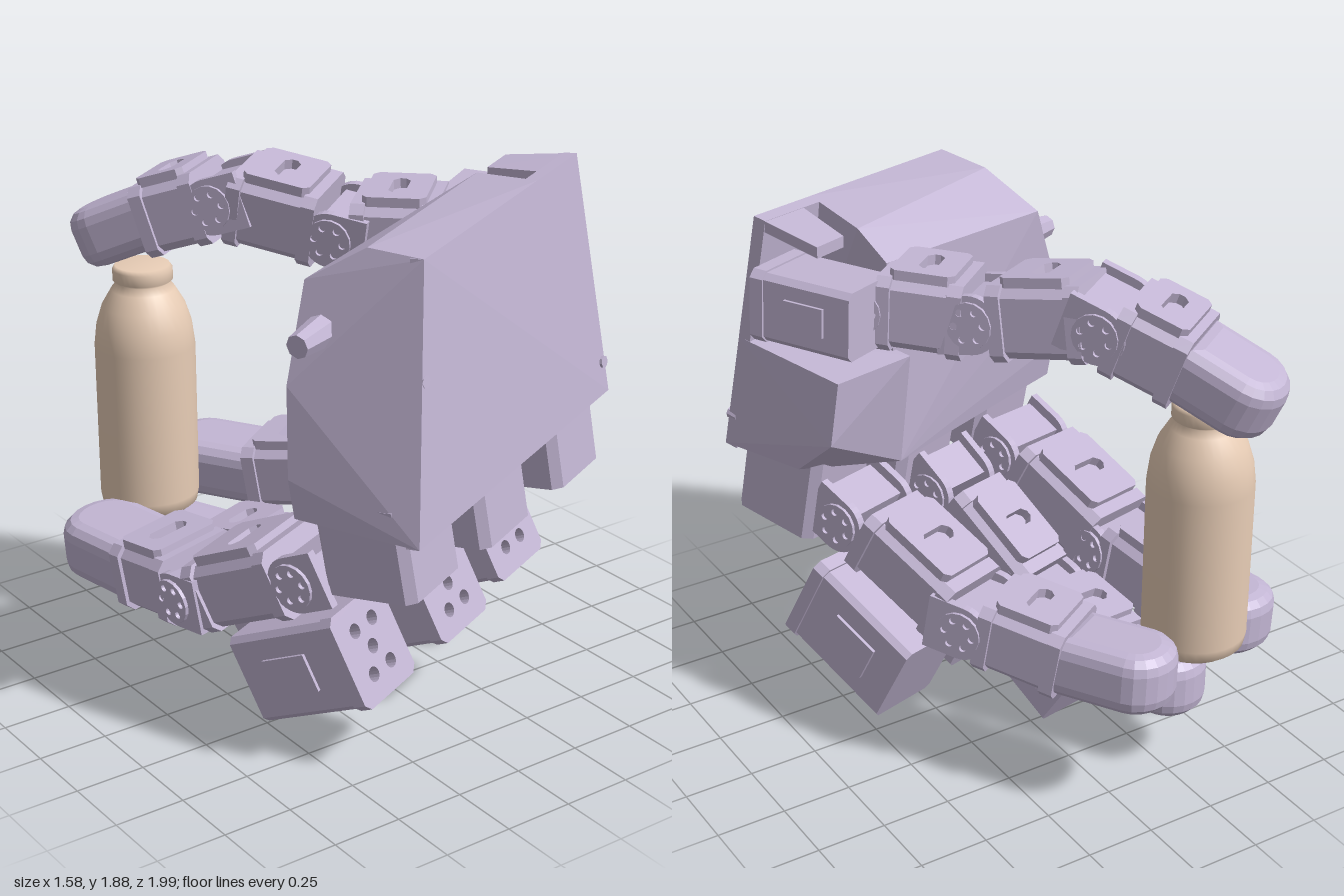
import * as THREE from 'three';
import { ConvexGeometry } from 'three/addons/geometries/ConvexGeometry.js';

const V = (x, y, z) => new THREE.Vector3(x, y, z);
const shell = new THREE.MeshStandardMaterial({ color: 0xc3b6d4, flatShading: true });
const tan = new THREE.MeshStandardMaterial({ color: 0xe8cdb6 });
const ACROSS = V(-0.927, -0.077, 0.365); // width axis of palm and fingers
const OUT = V(0.353, 0.135, 0.925); // direction the palm plate faces
const UP = V(0, 1, 0);
const MOTOR_AXIS = V(-0.13, -0.2, -0.41);

function add(parent, geo, name, x = 0, y = 0, z = 0) {
  const m = new THREE.Mesh(geo, shell);
  m.name = name;
  m.position.set(x, y, z);
  parent.add(m);
  return m;
}

// Group at a: x across, y up, z pointing at b
function frame(parent, name, a, b, side = ACROSS) {
  const g = new THREE.Group();
  g.name = name;
  const z = b.clone().sub(a), len = z.length();
  z.normalize();
  const x = side.clone().addScaledVector(z, -side.dot(z)).normalize();
  g.quaternion.setFromRotationMatrix(new THREE.Matrix4().makeBasis(x, z.clone().cross(x), z));
  g.position.copy(a);
  parent.add(g);
  return { g, len };
}

// Rectangle with cut corners
function chamfered(w, h, c, Kind = THREE.Shape) {
  const a = w / 2, b = h / 2;
  return new Kind([[c - a, -b], [a - c, -b], [a, c - b], [a, b - c], [a - c, b], [c - a, b], [-a, b - c], [-a, c - b]]
    .map(([x, y]) => new THREE.Vector2(x, y)));
}
const extrude = (shape, depth) => new THREE.ExtrudeGeometry(shape, { depth, bevelEnabled: false, curveSegments: 8 });
const hole = (x, y, r) => new THREE.Path().absarc(x, y, r, 0, Math.PI * 2, true);
const convex = (parent, name, pts) => add(parent, new ConvexGeometry(pts), name);
const shifted = (pts, dir, d) => pts.map((p) => p.clone().addScaledVector(dir, d));

// Finger bone: cut-corner box with end collars and a slotted top plate
function bone(parent, a, b, w, h) {
  const { g, len } = frame(parent, 'fingerBone', a, b);
  add(g, extrude(chamfered(w * 0.92, h * 0.92, 0.03), len), 'boneBody');
  for (const z of [0, len - 0.05]) add(g, extrude(chamfered(w, h, 0.03), 0.05), 'collar', 0, 0, z);
  const plate = chamfered(w * 0.8, len * 0.75, 0.02);
  plate.holes.push(chamfered(w * 0.45, 0.06, 0.02, THREE.Path));
  add(g, extrude(plate, 0.035), 'slottedPlate', 0, h * 0.46 + 0.035, len / 2).rotation.x = Math.PI / 2;
}

// Motor block with a drilled front plate
function motor(parent, a, w, h, axis = MOTOR_AXIS) {
  const { g, len } = frame(parent, 'motorBlock', a, a.clone().add(axis));
  const face = chamfered(w, h, 0.025);
  face.holes.push(hole(0, 0, 0.026));
  for (const sx of [-1, 1]) for (const sy of [-1, 1]) face.holes.push(hole(sx * 0.05, sy * 0.08, 0.026));
  add(g, extrude(face, 0.05), 'drilledPlate');
  add(g, extrude(chamfered(w * 0.95, h * 0.95, 0.02), len - 0.05), 'motorBody', 0, 0, 0.05);
  for (const s of [-1, 1]) add(g, new THREE.BoxGeometry(0.02, h * 0.4, len * 0.4), 'sideRib', s * w * 0.48, 0, len * 0.55);
}

// Hinge: servo core, two rounded cheek plates and drilled horns
function hinge(parent, a, b, w, h) {
  const { g, len } = frame(parent, 'hinge', a, b);
  add(g, new THREE.BoxGeometry(w * 0.72, h * 0.75, len * 1.1), 'servoCore', 0, 0, len / 2);
  const r = h / 2;
  const cheek = new THREE.Shape().moveTo(-len * 0.9, -r).lineTo(0, -r)
    .absarc(0, 0, r, -Math.PI / 2, Math.PI / 2, false).lineTo(-len * 0.9, r);
  const horn = new THREE.Shape().absarc(0, 0, r * 0.8, 0, Math.PI * 2, false);
  for (let i = 0; i < 6; i++) {
    const t = i * Math.PI / 3;
    horn.holes.push(hole(r * 0.52 * Math.cos(t), r * 0.52 * Math.sin(t), r * 0.13));
  }
  for (const s of [-1, 1]) {
    add(g, extrude(cheek, 0.03), 'cheekPlate', s * w * 0.44 + 0.015, 0, len * 0.75).rotation.y = -Math.PI / 2;
    add(g, extrude(horn, 0.025), 'horn', s * w * 0.485 + 0.0125, 0, len * 0.75).rotation.y = -Math.PI / 2;
  }
}

// Blunt, faceted pad at the end of a finger
function fingertip(parent, a, b, w, h) {
  const { g, len } = frame(parent, 'fingertip', a, b);
  const bev = 0.06, r = w / 2 - bev, l = len - bev, nose = r * 0.8;
  const s = new THREE.Shape().moveTo(-r, 0).lineTo(r, 0).lineTo(r, l - nose)
    .absellipse(0, l - nose, r, nose, 0, Math.PI, false, 0);
  const geo = new THREE.ExtrudeGeometry(s, {
    depth: h - 2 * bev, bevelSize: bev, bevelThickness: bev, bevelSegments: 3, curveSegments: 5,
  });
  add(g, geo, 'pad', 0, h / 2 - bev, 0).rotation.x = Math.PI / 2;
}

// Finger along its joints: a hinge and a bone per segment, a pad on the last
function finger(parent, name, w, h, joints) {
  const g = new THREE.Group();
  g.name = name;
  parent.add(g);
  const last = joints.length - 2;
  for (let i = 0; i < last; i++) {
    const a = joints[i], b = joints[i + 1];
    const dir = b.clone().sub(a).normalize();
    hinge(g, ...shifted([a], dir, -0.08), ...shifted([a], dir, 0.06), w, 0.2);
    bone(g, a.clone().lerp(b, 0.2), a.clone().lerp(b, 0.93), w, h);
  }
  fingertip(g, joints[last], joints[last + 1], w * 0.95, 0.22);
  return g;
}

// Open tray under the palm that carries one finger
function mount(parent, c) {
  const { g } = frame(parent, 'fingerMount', c, c.clone().sub(OUT));
  const ring = chamfered(0.31, 0.34, 0.03);
  ring.holes.push(chamfered(0.25, 0.28, 0.02, THREE.Path));
  add(g, extrude(ring, 0.32), 'trayWalls', 0, 0.16, 0).rotation.x = Math.PI / 2;
  add(g, new THREE.BoxGeometry(0.28, 0.05, 0.31), 'trayFloor', 0, -0.13, 0);
}

function makePalm(root) {
  const palm = new THREE.Group();
  palm.name = 'palm';
  root.add(palm);
  // Front plate over the full width
  const [tl, tr, br, bl] = [V(-0.29, 1.8, 0.82), V(0.67, 1.885, 0.42), V(0.785, 1.03, 0.51), V(-0.42, 0.93, 0.985)];
  const plate = [tl, tr, br, bl];
  convex(palm, 'frontPlate', [...plate, ...shifted(plate, OUT, -0.05)]);
  // Main housing with sloped top and side
  const topMid = tl.clone().lerp(tr, 0.72), lowMid = bl.clone().lerp(br, 0.72);
  const lowBack = V(0.27, 0.96, 0.18);
  convex(palm, 'housing', [tl, bl, topMid, lowMid, lowBack,
    V(-0.34, 1.79, 0.6), V(-0.45, 1.66, 0.42), V(-0.57, 1.35, 0.49), V(-0.595, 1.05, 0.53),
    V(-0.585, 0.92, 0.55), V(0.37, 1.83, 0.26), V(0.33, 1.74, 0.14)]);
  // Lower lobe beneath the thumb
  convex(palm, 'thumbLobe', [lowMid, br, tr.clone().lerp(br, 0.52), topMid.clone().lerp(lowMid, 0.5), lowBack,
    V(0.58, 1.4, 0.04), V(0.61, 1.17, 0.05), V(0.66, 1.03, 0.2), V(0.27, 1.4, 0.1)]);
  // Thin roof over the thumb root
  const roof = [tr, tl.clone().lerp(tr, 0.8), V(0.57, 1.84, 0.17), V(0.44, 1.83, 0.23)];
  convex(palm, 'thumbRoof', [...roof, ...shifted(roof, UP, -0.04)]);
  // Screw heads on the plate
  for (const p of [V(-0.2, 1.74, 0.765), V(0.75, 1.14, 0.495), V(-0.33, 1.43, 0.865)]) {
    const { g } = frame(palm, 'screw', p, p.clone().add(OUT));
    add(g, new THREE.CylinderGeometry(0.022, 0.022, 0.04, 8), 'screwHead').rotation.x = Math.PI / 2;
  }
  // Knob on the side wall
  const knob = V(-0.53, 1.52, 0.56);
  const { g } = frame(palm, 'sideKnob', knob, knob.clone().add(ACROSS), UP);
  add(g, new THREE.CylinderGeometry(0.04, 0.055, 0.14, 8), 'knob').rotation.x = Math.PI / 2;
}

export function createModel() {
  const root = new THREE.Group();
  root.name = 'robotHandWithBottle';
  makePalm(root);

  const outer = finger(root, 'outerFinger', 0.34, 0.25,
    [V(-0.42, 0.7, 0.5), V(-0.555, 0.47, 0.02), V(-0.6, 0.43, -0.36), V(-0.66, 0.43, -0.71)]);
  mount(outer, V(-0.34, 0.86, 0.71));
  motor(outer, V(-0.33, 0.42, 0.63), 0.3, 0.34);

  const middle = finger(root, 'middleFinger', 0.28, 0.25,
    [V(-0.02, 0.72, 0.36), V(-0.15, 0.41, -0.06), V(-0.22, 0.32, -0.47), V(-0.36, 0.33, -0.77)]);
  mount(middle, V(0.09, 0.87, 0.55));
  motor(middle, V(0.12, 0.45, 0.46), 0.3, 0.34);
  motor(middle, V(-0.1, 0.33, -0.04), 0.28, 0.32, V(-0.07, -0.18, -0.295));

  const inner = finger(root, 'innerFinger', 0.31, 0.25,
    [V(0.44, 0.83, 0.18), V(0.27, 0.59, -0.29), V(0.05, 0.53, -0.64), V(-0.12, 0.53, -0.93)]);
  mount(inner, V(0.54, 0.91, 0.39));
  motor(inner, V(0.53, 0.5, 0.27), 0.31, 0.35);

  const thumb = finger(root, 'thumb', 0.31, 0.26,
    [V(0.38, 1.61, 0.2), V(0.11, 1.6, -0.1), V(-0.14, 1.67, -0.46), V(-0.32, 1.56, -0.73), V(-0.47, 1.44, -0.955)]);
  motor(thumb, V(0.64, 1.62, 0.36), 0.28, 0.25, V(-0.18, 0, -0.34));

  // Bottle held between thumb and fingers
  const profile = [[0, 0.47], [0.15, 0.47], [0.175, 0.49], [0.182, 0.53], [0.182, 1.1], [0.172, 1.18], [0.15, 1.25],
    [0.115, 1.31], [0.095, 1.335], [0.108, 1.345], [0.108, 1.385], [0.098, 1.4], [0, 1.4]];
  const lathe = new THREE.LatheGeometry(profile.map(([r, y]) => new THREE.Vector2(r, y)), 32);
  const bottle = new THREE.Mesh(lathe, tan);
  bottle.name = 'bottle';
  bottle.position.set(-0.38, 0, -0.69);
  root.add(bottle);
  return root;
}
